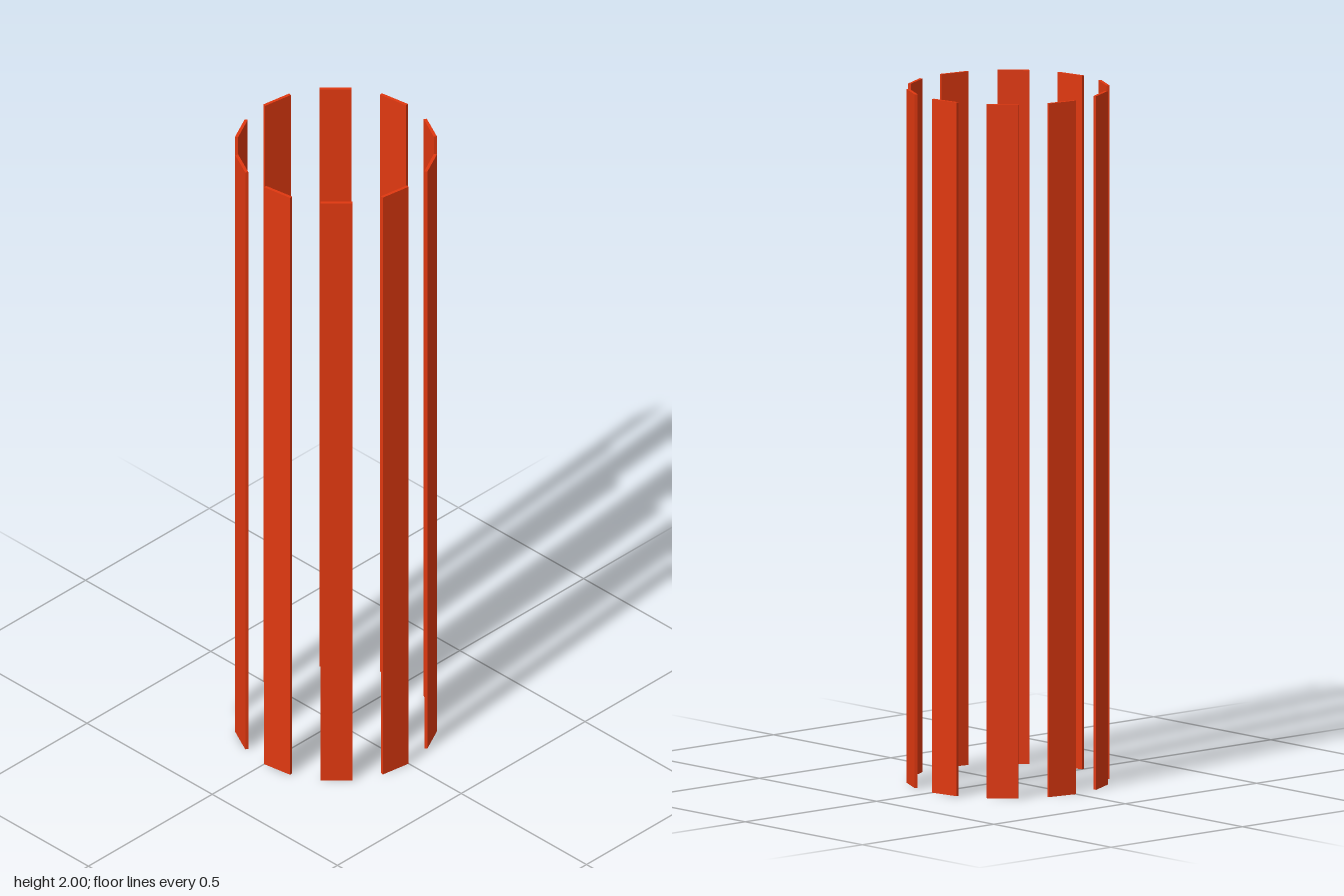
import * as THREE from 'three';

const COUNT = 10;      // slats, with equal gaps between them
const RADIUS = 0.29;   // circle through the outer slat edges
const HEIGHT = 2;
const THICKNESS = 0.009;

export function createModel() {
  const group = new THREE.Group();
  group.name = 'slatRing';

  const material = new THREE.MeshStandardMaterial({ color: 0xe03810 });

  // Each slat spans one side of a regular polygon; every other side is open
  const half = Math.PI / (COUNT * 2);
  const width = 2 * RADIUS * Math.sin(half);
  const slat = new THREE.BoxGeometry(width, HEIGHT, THICKNESS);
  slat.translate(0, HEIGHT / 2, -(RADIUS * Math.cos(half) - THICKNESS / 2));

  // Slats around the vertical axis
  for (let i = 0; i < COUNT; i++) {
    const mesh = new THREE.Mesh(slat, material);
    mesh.name = `slat${i + 1}`;
    mesh.rotation.y = -(half + (i * 2 * Math.PI) / COUNT);
    group.add(mesh);
  }
  return group;
}
